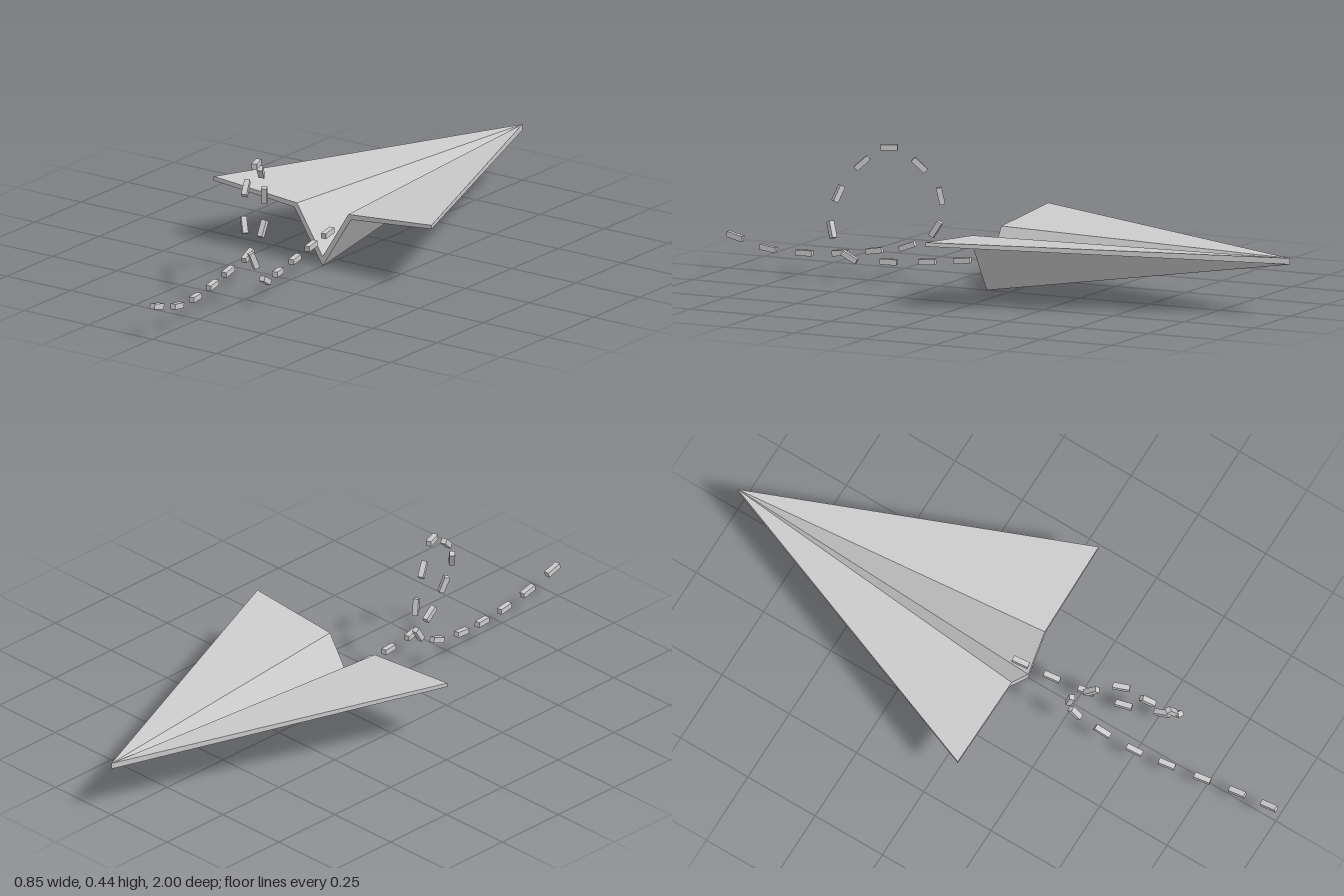
import * as THREE from 'three';

const material = new THREE.MeshStandardMaterial({ color: 0xcccccc, flatShading: true });

// Folded sheet: a thick W-shaped tail section tapering to a thin nose edge
function createPlane() {
  const tailZ = 0.08;
  const section = (half) => [
    ...half.map(([x, y]) => [-x, y, tailZ]),
    ...half.slice(0, -1).reverse().map(([x, y]) => [x, y, tailZ]),
  ];
  // wing tip, fold, keel
  const top = section([[0.425, 0.222], [0.1, 0.196], [0, 0.036]]);
  const bottom = section([[0.425, 0.209], [0.11, 0.18], [0, 0.005]]);
  const noseTop = [0, 0.191, -1];
  const noseBottom = [0, 0.171, -1];
  const last = top.length - 1;

  const positions = [];
  const tri = (...corners) => corners.forEach((c) => positions.push(...c));
  const quad = (a, b, c, d) => { tri(a, b, c); tri(a, c, d); };

  for (let i = 0; i < last; i++) {
    tri(noseTop, top[i], top[i + 1]);
    tri(noseBottom, bottom[i + 1], bottom[i]);
    quad(bottom[i], bottom[i + 1], top[i + 1], top[i]);
  }
  // Leading edges
  quad(noseTop, noseBottom, bottom[0], top[0]);
  quad(noseTop, top[last], bottom[last], noseBottom);

  const geometry = new THREE.BufferGeometry();
  geometry.setAttribute('position', new THREE.Float32BufferAttribute(positions, 3));
  geometry.computeVertexNormals();
  const mesh = new THREE.Mesh(geometry, material);
  mesh.name = 'paperPlane';
  return mesh;
}

// Dashed flight trail with one loop, one dash at each point of the path
function createTrail() {
  const trail = new THREE.Group();
  trail.name = 'flightTrail';
  const points = [
    [0, 0.108, 0.052], [0.013, 0.096, 0.16], [0.033, 0.086, 0.275], [0.057, 0.08, 0.4],
    [0.094, 0.092, 0.52], [0.094, 0.175, 0.583], [0.055, 0.285, 0.58], [0.015, 0.382, 0.515],
    [-0.006, 0.436, 0.43], [-0.05, 0.379, 0.345], [-0.079, 0.28, 0.285], [-0.075, 0.173, 0.3],
    [-0.064, 0.112, 0.395], [-0.058, 0.09, 0.51], [-0.04, 0.077, 0.62], [-0.02, 0.071, 0.74],
    [-0.004, 0.079, 0.86], [0, 0.109, 0.975],
  ].map((p) => new THREE.Vector3(...p));
  const path = new THREE.CatmullRomCurve3(points);
  const dashGeometry = new THREE.BoxGeometry(0.018, 0.018, 0.055);

  points.forEach((point, i) => {
    const dash = new THREE.Mesh(dashGeometry, material);
    dash.name = 'trailDash';
    dash.position.copy(point);
    dash.lookAt(point.clone().add(path.getTangent(i / (points.length - 1))));
    trail.add(dash);
  });
  return trail;
}

export function createModel() {
  const model = new THREE.Group();
  model.name = 'paperPlaneWithTrail';
  model.add(createPlane(), createTrail());
  return model;
}
